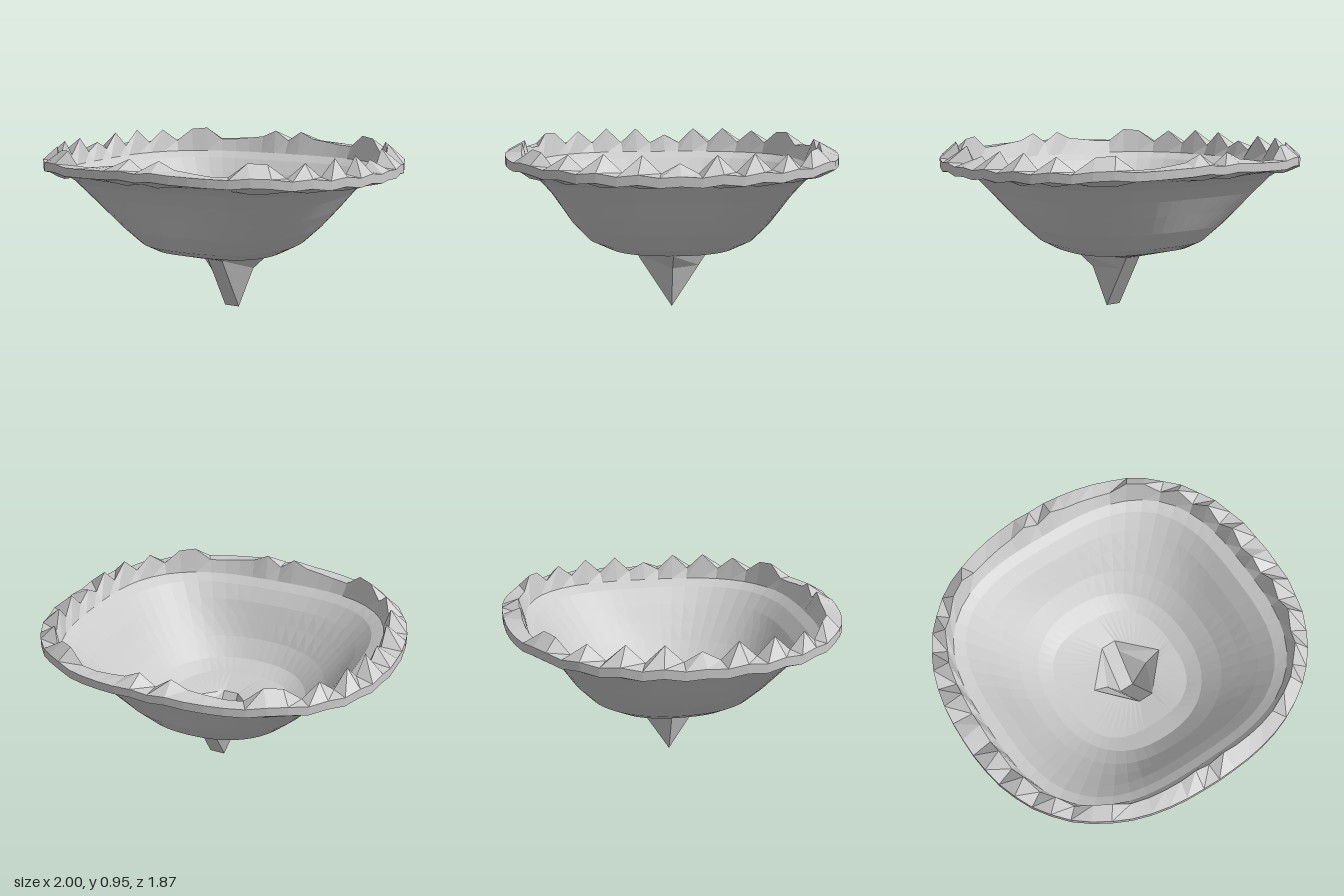
import * as THREE from 'three';

const SEGMENTS = 60;
const material = new THREE.MeshStandardMaterial({
  color: 0xcccccc, flatShading: true, side: THREE.DoubleSide,
});

// Height of the rim peaks over one quarter turn (left side to front), every 6 degrees
const PEAKS = [0.05, 0, 0.09, 0, 0.09, 0, 0.075, 0, 0.07, 0.075, 0, 0, 0.01, 0.02, 0.06, 0];

function peakAt(i) {
  const half = SEGMENTS / 2;
  const k = i % half;
  return PEAKS[Math.min(k, half - k)];
}

// Joins closed rings of equal point count into a faceted skin
function skin(name, rings) {
  const count = rings[0].length;
  const positions = rings.flat().flatMap((p) => [p.x, p.y, p.z]);
  const index = [];
  for (let r = 0; r < rings.length - 1; r++) {
    for (let i = 0; i < count; i++) {
      const a = r * count + i;
      const b = r * count + ((i + 1) % count);
      index.push(a, a + count, b, b, a + count, b + count);
    }
  }
  const geometry = new THREE.BufferGeometry();
  geometry.setAttribute('position', new THREE.Float32BufferAttribute(positions, 3));
  geometry.setIndex(index);
  geometry.computeVertexNormals();
  const mesh = new THREE.Mesh(geometry, material);
  mesh.name = name;
  return mesh;
}

// Rounded-square ring: half width a, half depth b, height at the sides and
// at the front/back, squareness n, and how strongly it follows the rim peaks
function ring([a, b, ySide, yFront, n, lift = 0]) {
  return Array.from({ length: SEGMENTS }, (_, i) => {
    const t = (i / SEGMENTS) * Math.PI * 2;
    const c = Math.cos(t), s = Math.sin(t);
    const r = (Math.abs(c / a) ** n + Math.abs(s / b) ** n) ** (-1 / n);
    const y = ySide + (yFront - ySide) * s * s + lift * peakAt(i);
    return new THREE.Vector3(r * c, y, r * s);
  });
}

// Six-sided opening in the floor where the spike hangs
function openingRing() {
  const a = 0.23, b = 0.2, c0 = 0.045;
  return Array.from({ length: SEGMENTS }, (_, i) => {
    const t = (i / SEGMENTS) * Math.PI * 2;
    const c = Math.abs(Math.cos(t)), s = Math.abs(Math.sin(t));
    const r = 1 / Math.max(s / b, c / a + (s / b) * (1 - c0 / a));
    const z = r * Math.sin(t);
    return new THREE.Vector3(0.05 + r * Math.cos(t), 0.325 - 0.075 * Math.abs(z), z);
  });
}

// Six-sided ring of the spike, stretched around the short tip edge
function spikeRing([out, depth, ySide, yFront]) {
  const L = 0.005, R = 0.095;
  return [
    [R + out, ySide, 0], [R, yFront, depth], [L, yFront, depth],
    [L - out, ySide, 0], [L, yFront, -depth], [R, yFront, -depth],
  ].map((p) => new THREE.Vector3(...p));
}

export function createModel() {
  const group = new THREE.Group();
  group.name = 'spikedBowl';

  // Bowl: small floor with nearly straight diagonals running out to a square lip
  const bowl = [
    [0.36, 0.37, 0.343, 0.355, 2.7],
    [0.45, 0.48, 0.39, 0.4, 2.3],
    [0.55, 0.57, 0.485, 0.5, 2.4],
    [0.63, 0.63, 0.585, 0.6, 2.7],
    [0.7, 0.685, 0.68, 0.69, 3],
    [0.78, 0.75, 0.77, 0.765, 3],
    [0.85, 0.8, 0.805, 0.805, 2.9],
  ];
  group.add(skin('bowl', [openingRing(), ...bowl.map(ring)]));

  // Rim: notched flange, outer wall, jagged crest and inner slope
  const rim = [
    [0.85, 0.8, 0.805, 0.805, 2.9],
    [0.92, 0.865, 0.81, 0.825, 2.6, -0.25],
    [1, 0.935, 0.8, 0.84, 2.35, 0.15],
    [1, 0.935, 0.85, 0.885, 2.35, 0.15],
    [0.885, 0.84, 0.86, 0.885, 2.7, 1],
    [0.85, 0.8, 0.805, 0.805, 2.9],
  ];
  group.add(skin('rim', rim.map(ring)));

  // Hollow spike under the floor, ending in a short edge
  const spike = [
    [0.185, 0.2, 0.325, 0.31],
    [0.095, 0.155, 0.24, 0.24],
    [0, 0, 0, 0],
  ];
  group.add(skin('bottomSpike', spike.map(spikeRing)));

  return group;
}
